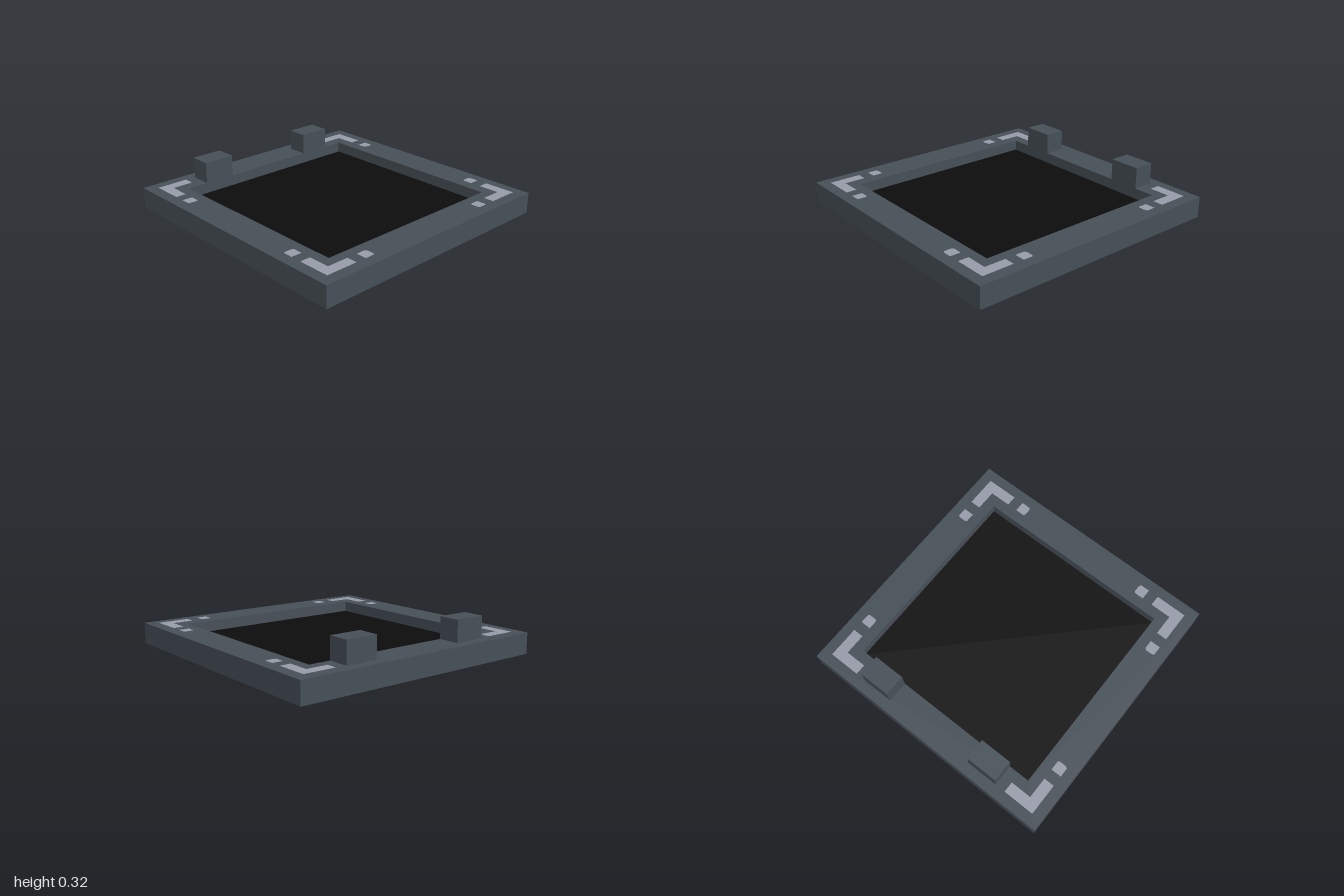
import * as THREE from 'three';

export function createModel() {
  const model = new THREE.Group();
  const slate = new THREE.MeshStandardMaterial({ name: 'slate', color: 0x475058 });
  const black = new THREE.MeshStandardMaterial({ name: 'black', color: 0x0d0d0d });
  const silver = new THREE.MeshStandardMaterial({ name: 'silver', color: 0x979ca9 });

  const add = (name, geometry, material) => {
    const mesh = new THREE.Mesh(geometry, material);
    mesh.name = name;
    model.add(mesh);
    return mesh;
  };
  // Box given by its lower and upper corners
  const box = (name, [x0, y0, z0], [x1, y1, z1], material) =>
    add(name, new THREE.BoxGeometry(x1 - x0, y1 - y0, z1 - z0), material)
      .position.set((x0 + x1) / 2, (y0 + y1) / 2, (z0 + z1) / 2);
  const outline = (points) => points.map(([x, y]) => new THREE.Vector2(x, y));
  const square = (r) => outline([[-r, -r], [r, -r], [r, r], [-r, r]]);

  // Square frame with an open middle
  const skin = 0.003;
  const ring = new THREE.Shape(square(1));
  ring.holes.push(new THREE.Path(square(0.76)));
  const frame = new THREE.ExtrudeGeometry(ring, { depth: 0.16 - skin, bevelEnabled: false });
  frame.rotateX(-Math.PI / 2).translate(0, skin, 0);
  add('frame', frame, slate);

  // Sunken floor and the dark panel on the underside
  box('floor', [-0.76, skin, -0.76], [0.76, 0.08, 0.76], black);
  box('undersidePanel', [-0.84, 0, -0.84], [0.84, skin, 0.76], black);

  // Two blocks standing along the back edge
  for (const [name, x] of [['leftBlock', 0.36], ['rightBlock', -0.6]]) {
    box(name, [x, 0.16, -0.92], [x + 0.24, 0.32, -0.76], slate);
  }

  // Corner brackets and dots, drawn for one corner and mirrored to all four
  const bracket = [[0.68, 0.84], [0.84, 0.84], [0.84, 0.68], [0.92, 0.68], [0.92, 0.92], [0.68, 0.92]];
  const sideDot = [[0.855, 0.52], [0.905, 0.52], [0.92, 0.53], [0.92, 0.6], [0.84, 0.6], [0.84, 0.53]];
  const frontDot = sideDot.map(([x, z]) => [z, x]);
  const mark = (name, points, sx, sz) => {
    // Shape y points to the back once laid flat
    const shape = new THREE.Shape(outline(points.map(([x, z]) => [x * sx, -z * sz])));
    const geometry = new THREE.ShapeGeometry(shape).rotateX(-Math.PI / 2);
    add(name, geometry.translate(0, 0.163, 0), silver);
  };
  for (const sx of [-1, 1]) {
    for (const sz of [-1, 1]) {
      mark('cornerBracket', bracket, sx, sz);
      mark('sideDot', sideDot, sx, sz);
    }
    mark('frontDot', frontDot, sx, 1);
  }
  return model;
}
